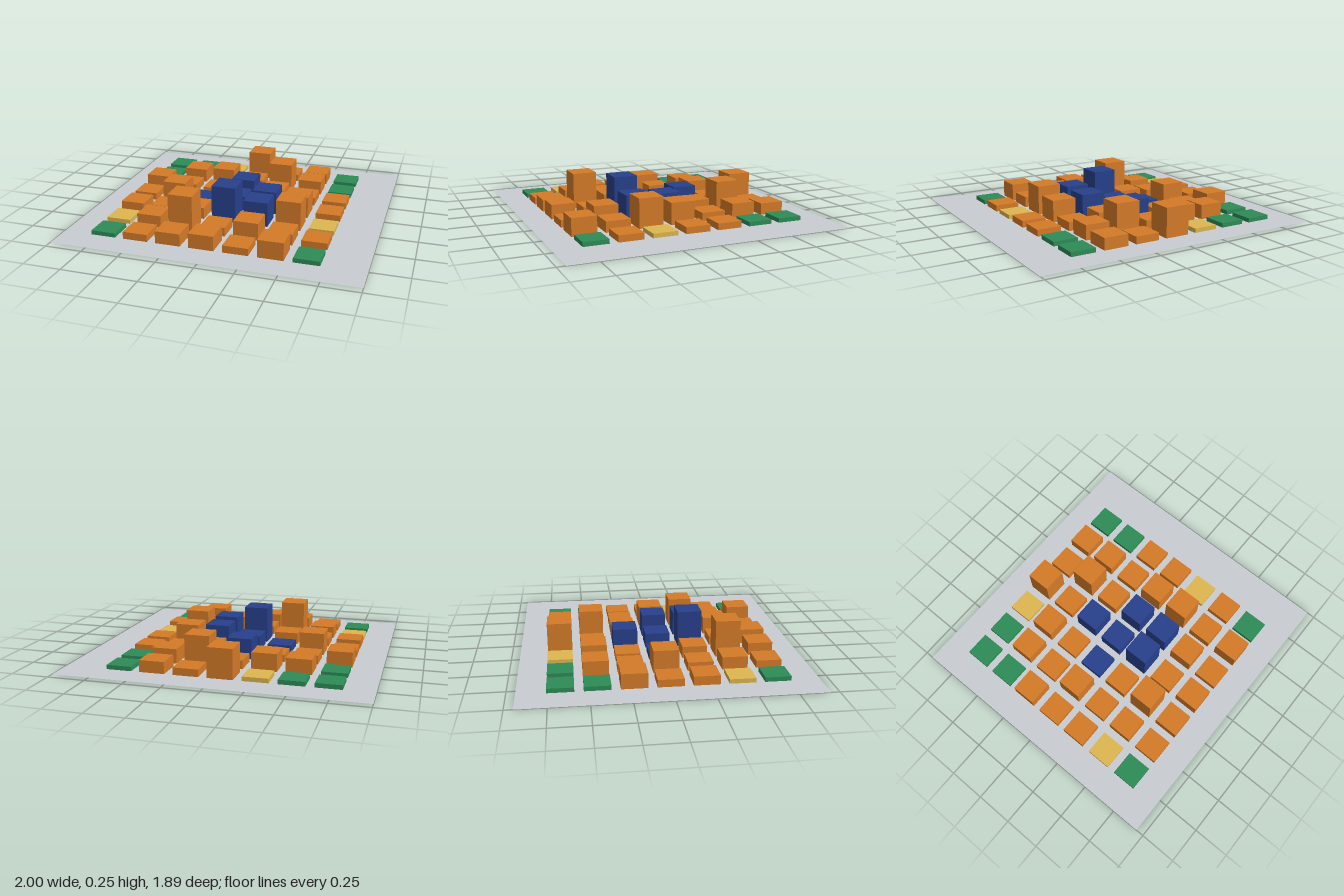
import * as THREE from 'three';

// Block heights in hundredths of a unit, back row first, columns from -x to +x
const HEIGHTS = [
  [3, 3, 3, 20, 5, 8, 3],
  [3, 10, 12, 6, 20.5, 10, 3],
  [10, 6, 5, 14, 9, 6, 4.5],
  [5, 15, 5, 10, 16, 15, 4.5],
  [6, 6, 8, 25, 17, 20, 3],
  [3, 8.5, 25, 6, 12, 7.5, 4.5],
  [3, 5, 8.5, 10, 5, 12, 3],
];

// Block kinds: g park, y plaza, o building, b tower
const KINDS = ['ggyooog', 'gooooog', 'ooobooo', 'oobbboo', 'ooobboy', 'yoooooo', 'gooooog'];

const TYPES = {
  g: { name: 'park', color: 0x2e8b57 },
  y: { name: 'plaza', color: 0xdeb650 },
  o: { name: 'building', color: 0xd47a28 },
  b: { name: 'tower', color: 0x27408b },
};

const PITCH = 0.225;
const SIZE = 0.168;
const BASE = 0.001; // keeps block undersides off the ground sheet

export function createModel() {
  const model = new THREE.Group();
  model.name = 'cityBlocks';

  // Thin ground sheet
  const ground = new THREE.Mesh(
    new THREE.PlaneGeometry(2, 1.89).rotateX(-Math.PI / 2),
    new THREE.MeshStandardMaterial({ color: 0xc8ccd0, side: THREE.DoubleSide }),
  );
  ground.name = 'ground';
  model.add(ground);

  // One shared material per kind of block
  const materials = {};
  for (const key in TYPES) {
    materials[key] = new THREE.MeshStandardMaterial({ color: TYPES[key].color });
  }

  // 7 x 7 grid of blocks
  HEIGHTS.forEach((row, j) => row.forEach((value, i) => {
    const kind = KINDS[j][i];
    const h = value / 100 - BASE;
    const block = new THREE.Mesh(new THREE.BoxGeometry(SIZE, h, SIZE), materials[kind]);
    block.name = `${TYPES[kind].name}Row${j + 1}Column${i + 1}`;
    block.position.set(-0.72 + i * PITCH, BASE + h / 2, (j - 3) * PITCH);
    model.add(block);
  }));

  return model;
}
